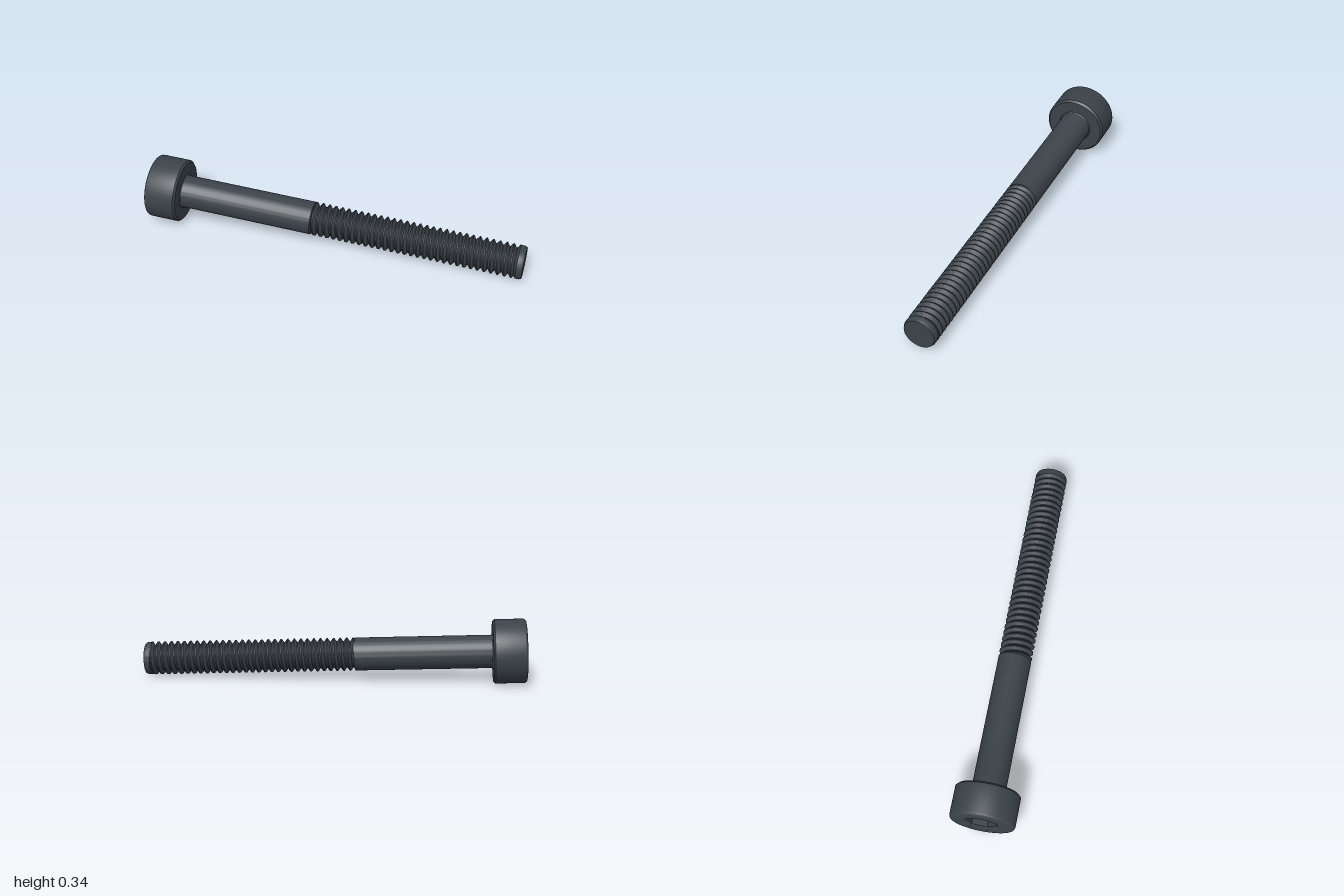
import * as THREE from 'three';
import { toCreasedNormals } from 'three/addons/utils/BufferGeometryUtils.js';

const SEG = 60;
const HEAD_R = 0.166, HEAD_LEN = 0.173, SHANK_R = 0.086;
const THREAD_START = 0.885, THREAD_END = 1.962, LENGTH = 1.993;
const PITCH = 0.0345, ROOT_R = 0.069;

// Surface through rings: ring(row, theta) gives [radius, height along the bolt]
function loft(rows, ring) {
  const pos = [], idx = [];
  for (let i = 0; i < rows; i++) {
    for (let j = 0; j <= SEG; j++) {
      const t = (j / SEG) * Math.PI * 2;
      const [r, y] = ring(i, t);
      pos.push(r * Math.sin(t), y, r * Math.cos(t));
      if (i < rows - 1 && j < SEG) {
        const a = i * (SEG + 1) + j, c = a + SEG + 1;
        idx.push(a, a + 1, c, a + 1, c + 1, c);
      }
    }
  }
  const g = new THREE.BufferGeometry();
  g.setAttribute('position', new THREE.Float32BufferAttribute(pos, 3));
  g.setIndex(idx);
  return toCreasedNormals(g, 0.5);
}

function lathe(points) {
  const g = new THREE.LatheGeometry(points.map(([r, y]) => new THREE.Vector2(r, y)), SEG);
  return toCreasedNormals(g, 0.5);
}

export function createModel() {
  const steel = new THREE.MeshStandardMaterial({ color: 0x3b434a });
  steel.name = 'blackened steel';
  const group = new THREE.Group();
  group.name = 'socketHeadBolt';
  const add = (name, geometry) => {
    const m = new THREE.Mesh(geometry, steel);
    m.name = name;
    group.add(m);
  };

  // Head, with a rounded outer edge and a small chamfer underneath
  const head = [[0.09, 0]];
  const f = 0.018;
  for (let i = 0; i <= 5; i++) {
    const a = (i / 5) * Math.PI / 2;
    head.push([HEAD_R - f + f * Math.sin(a), f - f * Math.cos(a)]);
  }
  head.push([HEAD_R, HEAD_LEN - 0.01], [HEAD_R - 0.01, HEAD_LEN], [SHANK_R, HEAD_LEN]);
  add('head', lathe(head));

  // Hexagonal socket with a conical lead-in
  const hex = (t) => {
    const k = Math.PI / 3;
    return 0.07 / Math.cos((t % k) - k / 2);
  };
  add('hexSocket', loft(4, (i, t) => [
    [0, 0.095], [hex(t), 0.085], [hex(t), 0.008], [0.09, 0],
  ][i]));

  // Plain shank with a small fillet under the head
  add('shank', lathe([
    [SHANK_R + 0.008, HEAD_LEN - 0.001], [SHANK_R + 0.002, HEAD_LEN + 0.004],
    [SHANK_R, HEAD_LEN + 0.01], [SHANK_R, THREAD_START], [ROOT_R - 0.004, THREAD_START + 0.008],
  ]));

  // Right-handed helical thread, trapezoid profile
  const phases = [0.05, 0.425, 0.575, 0.95];
  const turns = Math.ceil((THREAD_END - THREAD_START) / PITCH) + 1;
  add('thread', loft(turns * 4 + 4, (i, t) => {
    const turn = Math.floor(i / 4) - 1 + phases[i % 4] + t / (Math.PI * 2);
    const y = THREE.MathUtils.clamp(THREAD_START + turn * PITCH, THREAD_START, THREAD_END);
    const phase = (y - THREAD_START) / PITCH - t / (Math.PI * 2);
    const d = Math.abs(phase - Math.floor(phase) - 0.5) * 2;
    const crest = THREE.MathUtils.clamp((0.9 - d) / 0.75, 0, 1);
    return [ROOT_R + (SHANK_R + 0.001 - ROOT_R) * crest, y];
  }));

  // Chamfered tip
  add('tip', lathe([
    [ROOT_R - 0.002, THREAD_END - 0.015], [SHANK_R, THREAD_END], [SHANK_R, THREAD_END + 0.018],
    [0.08, LENGTH], [0, LENGTH],
  ]));

  // Lay the bolt down so it rests on the rim of its head and on its tip
  const headEnd = new THREE.Vector3(-0.965, 0.175, -0.165);
  const tipEnd = new THREE.Vector3(0.98, 0.09, 0.243);
  const axis = tipEnd.clone().sub(headEnd).normalize();
  group.quaternion.setFromUnitVectors(new THREE.Vector3(0, 1, 0), axis);
  group.position.copy(headEnd);

  const model = new THREE.Group();
  model.name = 'bolt';
  model.add(group);
  return model;
}
